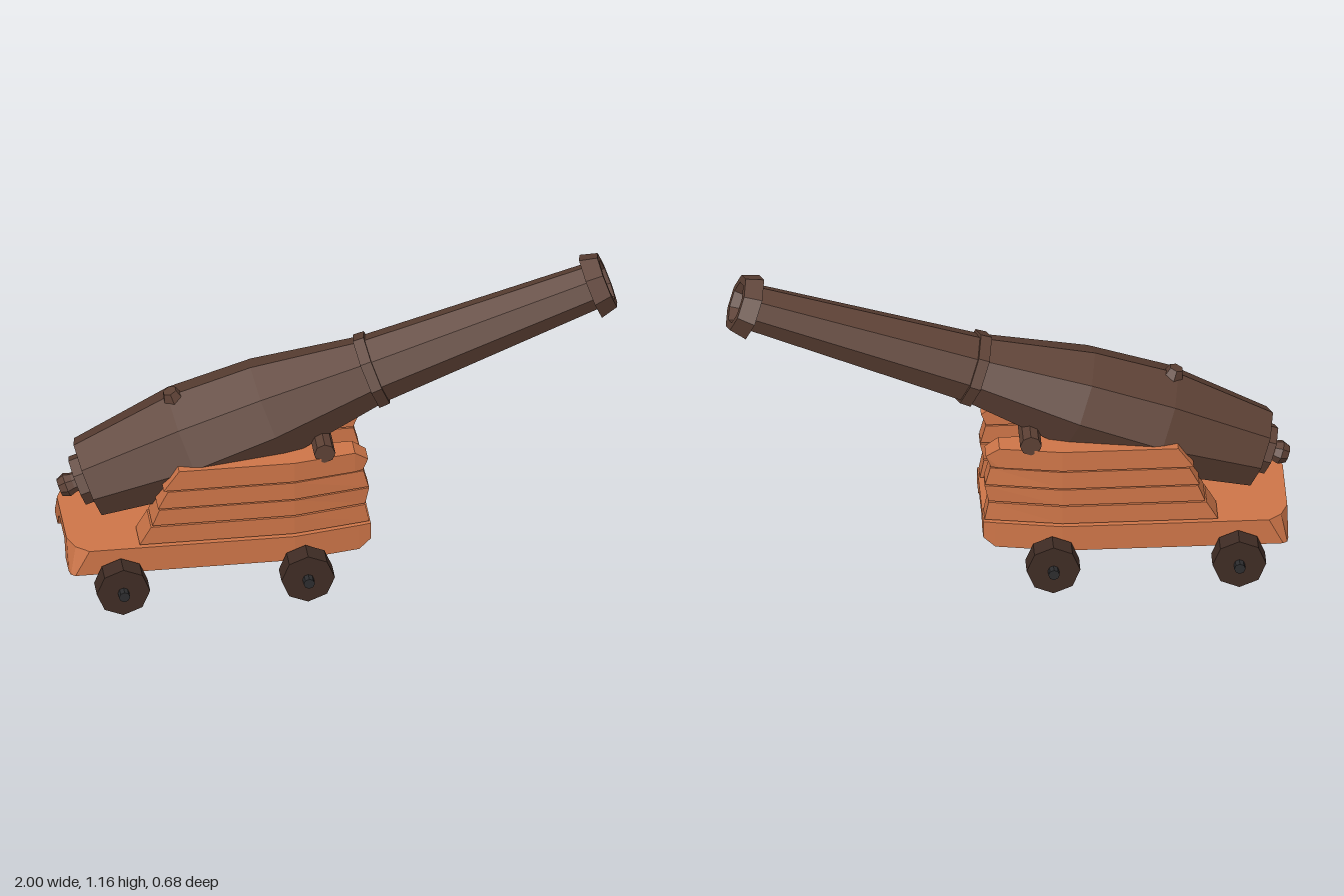
import * as THREE from 'three';

const material = (color) =>
  new THREE.MeshStandardMaterial({ color, flatShading: true });

// Joins rings of [x, y, z] corners (counter-clockwise seen from +x) and caps both ends.
function loft(rings) {
  const out = [];
  const tri = (a, b, c) => out.push(...a, ...b, ...c);
  const n = rings[0].length;
  for (let i = 0; i < rings.length - 1; i++) {
    for (let j = 0; j < n; j++) {
      const k = (j + 1) % n;
      const a = rings[i][j], b = rings[i][k], c = rings[i + 1][k], d = rings[i + 1][j];
      tri(a, b, c);
      tri(a, c, d);
    }
  }
  const cap = (ring, flip) => {
    const outline = ring.map(([, y, z]) => new THREE.Vector2(y, z));
    for (const [a, b, c] of THREE.ShapeUtils.triangulateShape(outline, [])) {
      if (flip) tri(ring[a], ring[c], ring[b]);
      else tri(ring[a], ring[b], ring[c]);
    }
  };
  cap(rings[0], true);
  cap(rings[rings.length - 1], false);
  const geo = new THREE.BufferGeometry();
  geo.setAttribute('position', new THREE.Float32BufferAttribute(out, 3));
  geo.computeVertexNormals();
  return geo;
}

export function createModel() {
  const model = new THREE.Group();
  model.name = 'cannon';
  const iron = material(0x5c4034);
  const wood = material(0xcd7548);
  const wheelWood = material(0x3f2c24);
  const axleMetal = material(0x2c2c2e);

  const add = (parent, name, geo, mat, x = 0, y = 0, z = 0) => {
    const mesh = new THREE.Mesh(geo, mat);
    mesh.name = name;
    mesh.position.set(x, y, z);
    parent.add(mesh);
    return mesh;
  };

  // Barrel: eight-sided turned profile [radius, distance along axis], ending inside the bore
  const gun = new THREE.Group();
  gun.name = 'gun';
  gun.position.set(-0.967, 0.361, 0);
  gun.rotation.z = THREE.MathUtils.degToRad(20.1 - 90);
  model.add(gun);
  const profile = [
    [0, -0.025], [0.032, -0.022], [0.044, 0.005], [0.036, 0.03], [0.036, 0.045],
    [0.092, 0.045], [0.092, 0.085], [0.147, 0.085], [0.2, 0.46], [0.19, 0.77],
    [0.13, 1.14], [0.14, 1.14], [0.138, 1.18], [0.126, 1.18], [0.085, 1.99],
    [0.12, 1.99], [0.103, 2.053], [0.076, 2.053], [0.052, 1.97], [0.052, 1.6], [0, 1.6],
  ].map(([r, u]) => new THREE.Vector2(r, u));
  add(gun, 'barrel', new THREE.LatheGeometry(profile, 8), iron);

  // Vent on top of the breech
  const vent = add(gun, 'vent', new THREE.CylinderGeometry(0.026, 0.04, 0.04, 6), iron, -0.2, 0.475, 0);
  vent.rotation.z = Math.PI / 2;

  // Trunnions resting on the cheeks
  add(model, 'trunnions', new THREE.CylinderGeometry(0.038, 0.038, 0.4, 8).rotateX(Math.PI / 2),
    iron, -0.07, 0.55, 0);

  // Carriage bed: top plate with two runners below, tapered at the front
  const bedRing = (xTop, xBottom, wTop, wBottom, yb) => [
    [xTop, 0.225, -wTop], [xTop, 0.225, wTop],
    [xBottom, yb, wBottom], [xBottom, yb, 0.11],
    [xTop, 0.187, 0.075], [xTop, 0.187, -0.075],
    [xBottom, yb, -0.11], [xBottom, yb, -wBottom],
  ];
  add(model, 'carriageBed', loft([
    bedRing(-0.98, -0.98, 0.13, 0.19, 0.125),
    bedRing(-0.955, -0.975, 0.19, 0.215, 0.125),
    bedRing(-0.91, -0.96, 0.226, 0.226, 0.125),
    bedRing(-0.18, -0.18, 0.226, 0.226, 0.125),
    bedRing(0.055, 0.055, 0.185, 0.185, 0.125),
    bedRing(0.097, 0.097, 0.176, 0.176, 0.16),
  ]), wood);

  // Cheeks: four stepped planks a side: [y0, y1, back x low, back x high, front x low, front x high]
  const planks = [
    [0.231, 0.302, -0.73, -0.69, 0.092, 0.078],
    [0.308, 0.372, -0.685, -0.66, 0.078, 0.092],
    [0.377, 0.446, -0.665, -0.63, 0.09, 0.072],
    [0.451, 0.53, -0.645, -0.59, 0.07, 0.088],
  ];
  for (const side of [1, -1]) {
    const cheek = new THREE.Group();
    cheek.name = side > 0 ? 'leftCheek' : 'rightCheek';
    model.add(cheek);
    planks.forEach(([y0, y1, b0, b1, f0, f1], i) => {
      const ring = (x0, x1, outer, top = y1) => {
        const r = [
          [x1, top, 0.102 * side], [x1, top, outer * side],
          [x0, y0, outer * side], [x0, y0, 0.102 * side],
        ];
        return side > 0 ? r : r.reverse();
      };
      const rings = [ring(b0, b1, 0.216), ring(-0.18, -0.18, 0.216)];
      // the top plank has a clipped front corner
      if (i === 3) rings.push(ring(0.04, 0.04, 0.18), ring(f0, f1, 0.17, 0.495));
      else rings.push(ring(f0, f1, 0.17));
      add(cheek, 'plank', loft(rings), wood);
    });
  }

  // Axles with eight-sided wheels
  for (const x of [-0.8, -0.143]) {
    add(model, 'axle', new THREE.CylinderGeometry(0.02, 0.02, 0.676, 8).rotateX(Math.PI / 2),
      axleMetal, x, 0.095, 0);
    for (const z of [-0.27, 0.27]) {
      add(model, 'wheel', new THREE.CylinderGeometry(0.095, 0.095, 0.075, 8).rotateX(Math.PI / 2),
        wheelWood, x, 0.095, z);
    }
  }
  return model;
}
